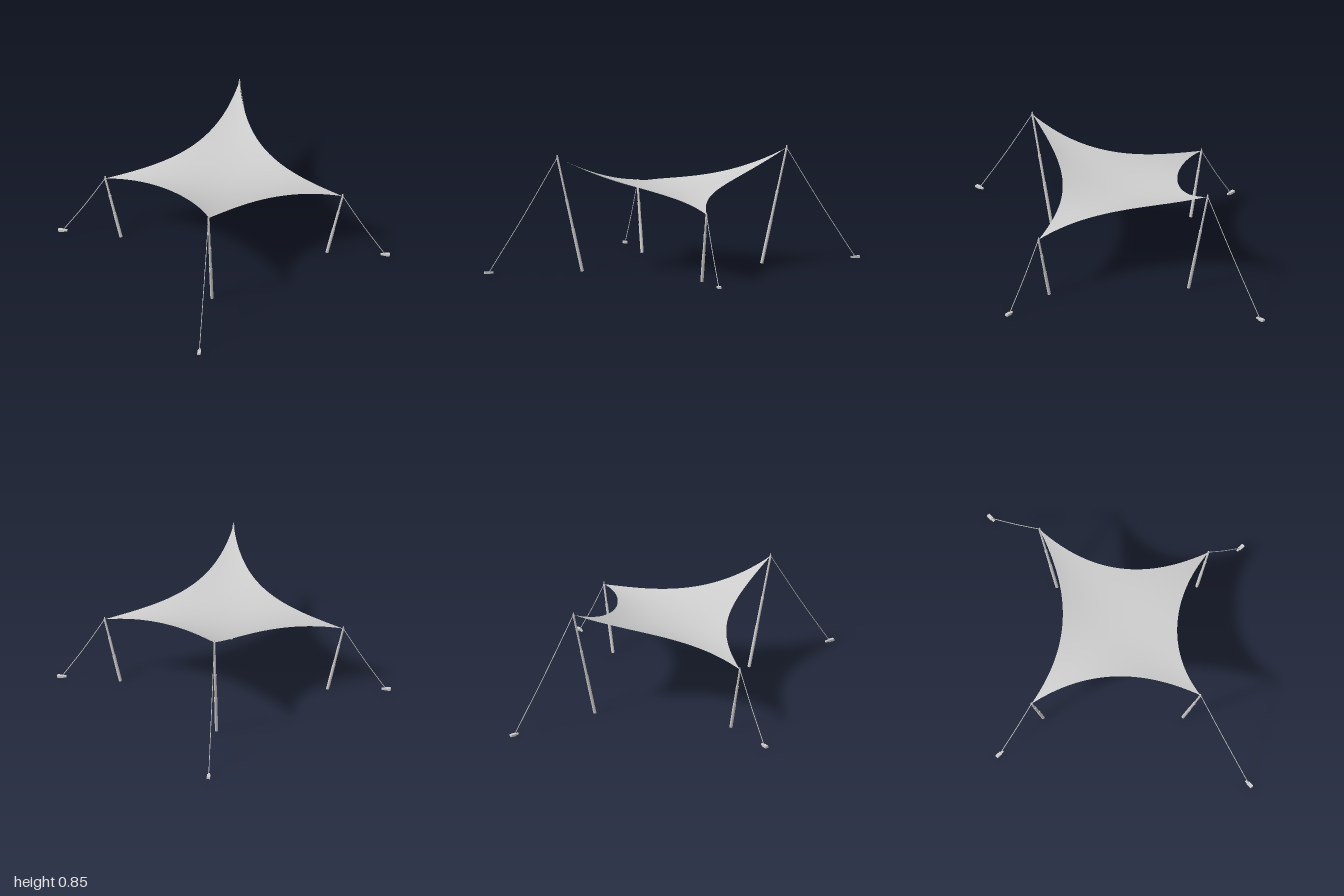
import * as THREE from 'three';

const fabric = new THREE.MeshStandardMaterial({ color: 0xcccccc, side: THREE.DoubleSide });
fabric.name = 'lightGrey';

const HALF = 0.605, WAIST = 0.41, HIGH = 0.83, LOW = 0.5;
const MID = (HIGH + LOW) / 2, RISE = (HIGH - LOW) / 2;

function add(parent, name, geometry) {
  const mesh = new THREE.Mesh(geometry, fabric);
  mesh.name = name;
  parent.add(mesh);
  return mesh;
}

// Tapered rod between two points
function rod(parent, name, a, b, ra, rb, sides = 12) {
  const mesh = add(parent, name, new THREE.CylinderGeometry(rb, ra, a.distanceTo(b), sides));
  mesh.position.copy(a).lerp(b, 0.5);
  mesh.quaternion.setFromUnitVectors(new THREE.Vector3(0, 1, 0), b.clone().sub(a).normalize());
  return mesh;
}

// Sail stretched between four curved edges, with two high and two low corners
function canopyGeometry() {
  const even = t => 0.615 + (MID - 0.615) * t * t;
  const odd = t => 0.112 * t + (RISE - 0.112) * t ** 3;
  const inset = t => WAIST + (HALF - WAIST) * t * t;
  const geo = new THREE.PlaneGeometry(2, 2, 40, 40);
  geo.rotateX(-Math.PI / 2);
  const p = geo.attributes.position;
  for (let i = 0; i < p.count; i++) {
    const u = p.getX(i), v = p.getZ(i);
    const y = even(u) + v * odd(u) + even(v) + u * odd(v) - MID - RISE * u * v;
    p.setXYZ(i, u * inset(v), y, v * inset(u));
  }
  geo.computeVertexNormals();
  return geo;
}

// Telescopic pole, guy rope and ground peg of one corner
function cornerSupport(sx, sz) {
  const high = sx === sz;
  const g = new THREE.Group();
  g.name = high ? 'highCornerSupport' : 'lowCornerSupport';
  const at = (d, y) => new THREE.Vector3(sx * d, y, sz * d);
  const top = at(HALF, high ? HIGH : LOW);
  const foot = at(high ? 0.473 : 0.525, 0.002);
  const along = t => foot.clone().lerp(top, t);

  // Pole sections, thinner towards the top
  const joints = high ? [0, 0.36, 0.62, 1] : [0, 0.4, 0.7, 1];
  [0.0115, 0.0095, 0.0075].forEach((r, i) =>
    rod(g, 'poleSection', along(joints[i]), along(joints[i + 1]), r, r));
  [1, 2].forEach(i =>
    rod(g, 'poleCollar', along(joints[i] - 0.012), along(joints[i] + 0.012), 0.0125 - i * 0.001, 0.0125 - i * 0.001));
  rod(g, 'poleTip', top, top.clone().add(new THREE.Vector3(0, 0.018, 0)), 0.005, 0.004);

  // Guy rope with a slight sag
  const end = at(high ? 0.965 : 0.82, 0.022);
  const middle = top.clone().lerp(end, 0.5);
  middle.y -= 0.012;
  const rope = new THREE.CatmullRomCurve3([top, middle, end]);
  add(g, 'guyRope', new THREE.TubeGeometry(rope, 16, 0.0028, 6));

  // Ground peg lying along the diagonal
  const peg = new THREE.Group();
  peg.name = 'groundPeg';
  const outer = high ? 0.99 : 0.845;
  peg.position.copy(at(outer, 0.02));
  peg.rotation.y = Math.atan2(-sx, -sz);
  add(peg, 'pegBody', new THREE.BoxGeometry(0.024, 0.016, 0.044)).position.z = 0.022;
  add(peg, 'pegNeck', new THREE.BoxGeometry(0.014, 0.012, 0.022)).position.z = 0.055;
  g.add(peg);
  return g;
}

export function createModel() {
  const model = new THREE.Group();
  model.name = 'shadeSail';
  add(model, 'canopy', canopyGeometry());
  for (const sx of [-1, 1]) for (const sz of [-1, 1]) model.add(cornerSupport(sx, sz));
  return model;
}
